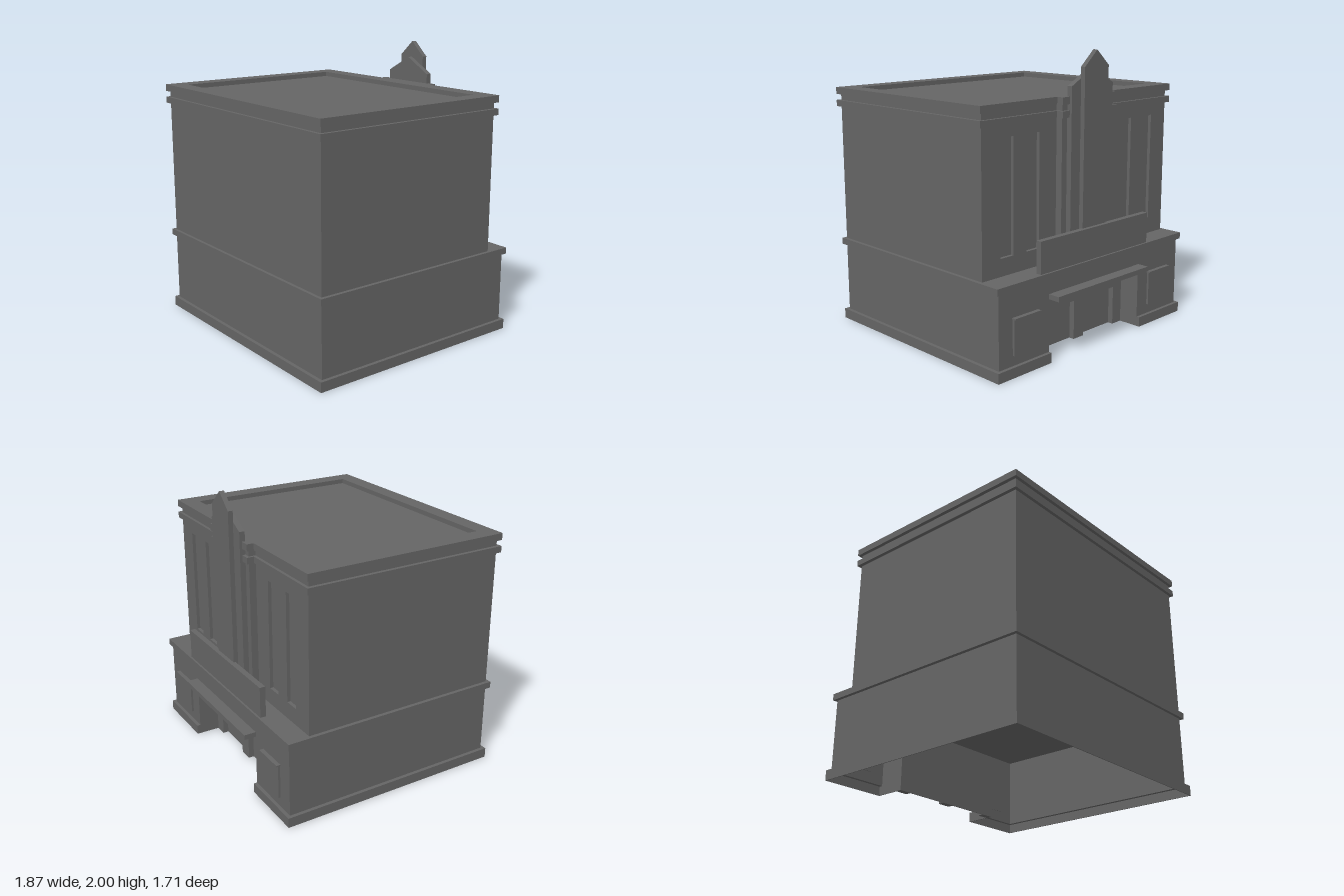
import * as THREE from 'three';

export function createModel() {
  const model = new THREE.Group();
  const mat = new THREE.MeshStandardMaterial({ color: 0x656565 });

  const add = (name, geo) => {
    const mesh = new THREE.Mesh(geo, mat);
    mesh.name = name;
    model.add(mesh);
    return mesh;
  };

  // Box from its limits on each axis
  const box = (name, x0, x1, y0, y1, z0, z1) => {
    const geo = new THREE.BoxGeometry(x1 - x0, y1 - y0, z1 - z0);
    geo.translate((x0 + x1) / 2, (y0 + y1) / 2, (z0 + z1) / 2);
    return add(name, geo);
  };

  const points = (pts) => pts.map(([a, b]) => new THREE.Vector2(a, b));

  // Floor plan given as [x, z] corners, raised from y0 to y1, with an optional hole
  const raisePlan = (name, outline, y0, y1, hole) => {
    const flip = (pts) => points(pts.map(([x, z]) => [x, -z]));
    const shape = new THREE.Shape(flip(outline));
    if (hole) shape.holes.push(new THREE.Path(flip(hole)));
    const geo = new THREE.ExtrudeGeometry(shape, { depth: y1 - y0, bevelEnabled: false });
    geo.rotateX(-Math.PI / 2);
    geo.translate(0, y0, 0);
    return add(name, geo);
  };

  // Outline drawn in x and y, extruded from z0 to z1
  const extrudeFacade = (name, outline, z0, z1, holes = []) => {
    const shape = new THREE.Shape(points(outline));
    holes.forEach((h) => shape.holes.push(new THREE.Path(points(h))));
    const geo = new THREE.ExtrudeGeometry(shape, { depth: z1 - z0, bevelEnabled: false });
    geo.translate(0, 0, z0);
    return add(name, geo);
  };

  const rect = (x0, x1, y0, y1) => [[x0, y0], [x1, y0], [x1, y1], [x0, y1]];

  // Rectangular plan whose street side (-z) steps to stepZ within |x| < stepX
  const steppedPlan = (halfW, zStreet, zRear, stepX, stepZ) => [
    [-halfW, zRear], [halfW, zRear], [halfW, zStreet], [stepX, zStreet],
    [stepX, stepZ], [-stepX, stepZ], [-stepX, zStreet], [-halfW, zStreet],
  ];

  // Ground floor: thin hollow walls, open below, with an entrance recess
  raisePlan('plinth', steppedPlan(0.935, -0.794, 0.855, 0.46, -0.58), 0, 0.07,
    steppedPlan(0.929, -0.788, 0.849, 0.466, -0.574));
  raisePlan('plinthTop', steppedPlan(0.932, -0.79, 0.852, 0.462, -0.578), 0.064, 0.07,
    steppedPlan(0.904, -0.764, 0.824, 0.466, -0.574));
  raisePlan('groundFloorWalls', steppedPlan(0.91, -0.77, 0.83, 0.46, -0.58), 0.07, 0.43,
    steppedPlan(0.904, -0.764, 0.824, 0.466, -0.574));
  raisePlan('groundFloorUpperWalls', rect(-0.91, 0.91, 0.83, -0.77), 0.43, 0.57,
    rect(-0.904, 0.904, -0.764, 0.824));
  box('beltCourse', -0.935, 0.935, 0.567, 0.612, -0.787, 0.852);

  // Entrance: canopy, lintel and piers that frame two doorways
  box('entranceCanopy', -0.463, 0.463, 0.43, 0.465, -0.855, -0.574);
  box('doorLintel', -0.46, 0.46, 0.28, 0.43, -0.62, -0.58);
  box('centerPier', -0.05, 0.05, 0, 0.28, -0.62, -0.58);
  for (const s of [-1, 1]) {
    const x = 0.415 * s;
    box('sidePier', x - 0.045, x + 0.045, 0, 0.28, -0.62, -0.58);
    // Display panel with its projecting cap
    const p = 0.68 * s;
    box('displayPanel', p - 0.11, p + 0.11, 0.14, 0.385, -0.785, -0.76);
    box('displayPanelCap', p - 0.115, p + 0.115, 0.38, 0.39, -0.8, -0.76);
  }

  // Upper floors, with a street skin pierced by tall windows
  box('upperBody', -0.91, 0.91, 0.6, 1.675, -0.6, 0.83);
  const windows = [];
  for (const x of [-0.695, -0.465, 0.465, 0.695])
    windows.push(rect(x - 0.057, x + 0.057, 0.73, 1.495));
  extrudeFacade('windowWall', rect(-0.91, 0.91, 0.6, 1.67), -0.624, -0.6, windows);
  box('centerBay', -0.25, 0.25, 0.6, 1.68, -0.673, -0.61);

  // Gabled fin on the centre bay, its two slopes shaded smoothly across the ridge
  const fin = (name, halfW, shoulder, peak, z0, z1) => {
    const { geometry } = extrudeFacade(name, [
      [-halfW, 0.6], [halfW, 0.6], [halfW, shoulder], [0, peak], [-halfW, shoulder],
    ], z0, z1);
    const { position, normal } = geometry.attributes;
    for (let i = 0; i < position.count; i++)
      if (position.getY(i) > peak - 0.001 && Math.abs(normal.getZ(i)) < 0.5) normal.setXYZ(i, 0, 1, 0);
  };
  fin('wideFin', 0.203, 1.775, 1.885, -0.712, -0.673);
  fin('tallFin', 0.117, 1.895, 2, -0.745, -0.71);

  // Cornices follow the centre bay; the upper one rims the sunken roof
  const cornicePlan = steppedPlan(0.935, -0.645, 0.852, 0.268, -0.695);
  raisePlan('lowerCornice', cornicePlan, 1.574, 1.618);
  raisePlan('upperCornice', cornicePlan, 1.66, 1.708, rect(-0.814, 0.814, -0.523, 0.733));

  // Blank sign board above the belt course
  box('signBoard', -0.543, 0.543, 0.6, 0.83, -0.773, -0.732);

  return model;
}
